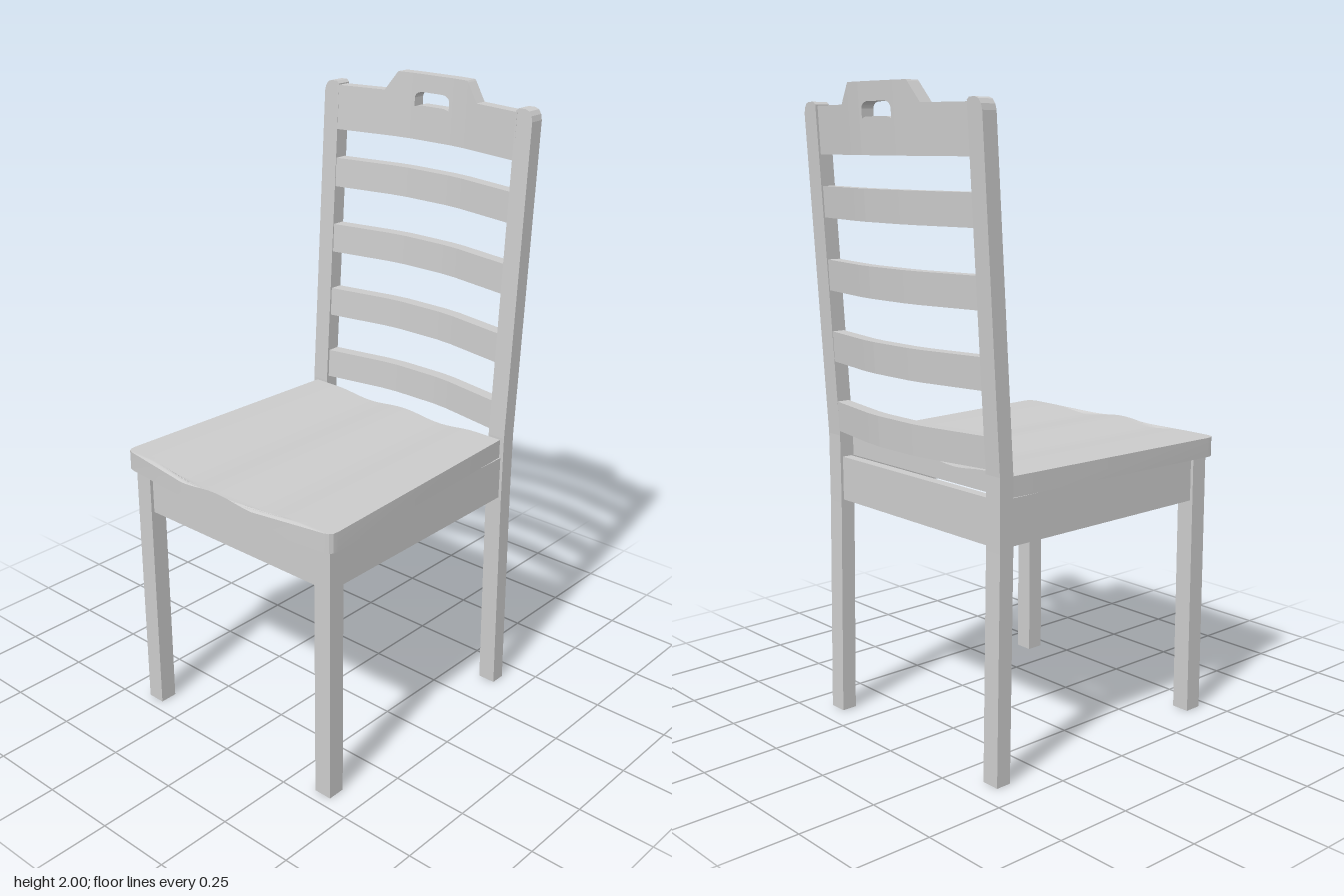
import * as THREE from 'three';
import { mergeGeometries, toCreasedNormals } from 'three/addons/utils/BufferGeometryUtils.js';

const material = new THREE.MeshStandardMaterial({ color: 0xcccccc });

function addMesh(group, name, geometry) {
  const mesh = new THREE.Mesh(geometry, material);
  mesh.name = name;
  group.add(mesh);
  return mesh;
}

function addBox(group, name, [x0, x1], [y0, y1], [z0, z1]) {
  const geo = new THREE.BoxGeometry(x1 - x0, y1 - y0, z1 - z0);
  addMesh(group, name, geo).position.set((x0 + x1) / 2, (y0 + y1) / 2, (z0 + z1) / 2);
}

// Extruded outline whose back face is sheared to z = backZ(x, y)
function slab(points, depth, backZ, hole) {
  const shape = new THREE.Shape(points.map(([x, y]) => new THREE.Vector2(x, y)));
  if (hole) shape.holes.push(hole);
  const geo = new THREE.ExtrudeGeometry(shape, { depth, bevelEnabled: false, curveSegments: 6 });
  const p = geo.attributes.position;
  for (let i = 0; i < p.count; i++) p.setZ(i, p.getZ(i) + backZ(p.getX(i), p.getY(i)));
  geo.computeVertexNormals();
  return geo;
}

function lerpTable(table, v) {
  let i = 0;
  while (i < table.length - 2 && v > table[i + 1][0]) i++;
  const [a, za] = table[i], [b, zb] = table[i + 1];
  return za + (zb - za) * (v - a) / (b - a);
}

// Back rails bow backwards and lean with the posts
const bow = [[0, 0], [0.08, 0], [0.14, 0.006], [0.35, 0.045]];
const railZ = (x, y) => -0.46 - (y - 0.93) * 0.052 + lerpTable(bow, Math.abs(x));

// Rail made of flat facets: centre, two transitions and two wings
function bowedRail(y0, tops, hole) {
  const [centre, shoulder, wing] = tops;
  const outlines = [[[-0.08, y0], [0.08, y0], [0.08, centre], [-0.08, centre]]];
  for (const s of [1, -1]) {
    const sides = [
      [[0.08, y0], [0.14, y0], ...shoulder, [0.08, centre]],
      [[0.14, y0], [0.355, y0], ...wing],
    ];
    for (const o of sides) outlines.push(o.map(([x, y]) => [s * x, y]));
  }
  return mergeGeometries(outlines.map((o, i) => slab(o, 0.042, railZ, i === 0 ? hole : undefined)));
}

// Post in three straight lengths with a rounded outer top corner
const postLine = [[0, -0.427], [0.7, -0.414], [0.92, -0.414], [1.95, -0.476]];
function post(s) {
  const top = [[0.41, 1.915], [0.406, 1.932], [0.397, 1.945], [0.383, 1.95], [0.36, 1.95], [0.35, 1.942]];
  const pieces = [
    [[0.35, 0], [0.41, 0], [0.41, 0.7], [0.35, 0.7]],
    [[0.35, 0.7], [0.41, 0.7], [0.41, 0.92], [0.35, 0.92]],
    [[0.35, 0.92], [0.41, 0.92], ...top],
  ];
  return mergeGeometries(pieces.map((o) =>
    slab(o.map(([x, y]) => [s * x, y]), 0.05, (x, y) => lerpTable(postLine, y))));
}

// Seat: widths at successive depths, with a gently scooped top
function seat() {
  const rows = [[-0.364, 0.395], [0.45, 0.43], [0.467, 0.428], [0.478, 0.42], [0.484, 0.405], [0.51, 0.15]];
  const n = rows.length - 1;
  const geo = new THREE.BoxGeometry(2, 1, 1, 40, 1, n);
  const p = geo.attributes.position;
  for (let i = 0; i < p.count; i++) {
    const [z, w] = rows[Math.round((p.getZ(i) + 0.5) * n)];
    const x = p.getX(i) * w;
    const top = 0.906 + 0.006 * Math.cos(Math.PI * Math.min(Math.abs(x), 0.3) / 0.15);
    p.setXYZ(i, x, p.getY(i) > 0 ? top : 0.85, z);
  }
  geo.computeVertexNormals();
  return toCreasedNormals(geo, 0.5);
}

function gripHole() {
  const h = new THREE.Path();
  h.moveTo(-0.068, 1.897);
  h.lineTo(-0.068, 1.925);
  h.quadraticCurveTo(-0.066, 1.942, -0.04, 1.945);
  h.lineTo(0.04, 1.945);
  h.quadraticCurveTo(0.066, 1.942, 0.068, 1.925);
  h.lineTo(0.068, 1.897);
  h.quadraticCurveTo(0.055, 1.903, 0.04, 1.903);
  h.lineTo(-0.04, 1.903);
  h.quadraticCurveTo(-0.055, 1.903, -0.068, 1.897);
  return h;
}

export function createModel() {
  const chair = new THREE.Group();
  chair.name = 'chair';

  addMesh(chair, 'seat', seat());

  // Legs, posts and side aprons
  for (const s of [1, -1]) {
    const side = s > 0 ? 'left' : 'right';
    const span = (a, b) => (s > 0 ? [a, b] : [-b, -a]);
    addBox(chair, side + 'FrontLeg', span(0.35, 0.41), [0, 0.85], [0.405, 0.463]);
    addMesh(chair, side + 'BackPost', post(s));
    addBox(chair, side + 'Apron', span(0.368, 0.4), [0.71, 0.85], [-0.37, 0.41]);
  }
  addBox(chair, 'frontApron', [-0.355, 0.355], [0.71, 0.85], [0.42, 0.452]);
  addBox(chair, 'backApron', [-0.355, 0.355], [0.71, 0.85], [-0.405, -0.373]);

  // Ladder slats
  for (let i = 0; i < 4; i++) {
    const y0 = 0.935 + i * 0.2235, y1 = y0 + 0.095;
    addMesh(chair, 'backSlat' + (i + 1),
      bowedRail(y0, [y1, [[0.14, y1]], [[0.355, y1], [0.14, y1]]]));
  }

  // Top rail with raised grip
  addMesh(chair, 'topRail', bowedRail(1.795, [
    2,
    [[0.14, 1.995], [0.135, 2]],
    [[0.355, 1.938], [0.182, 1.938], [0.14, 1.995]],
  ], gripHole()));

  return chair;
}
